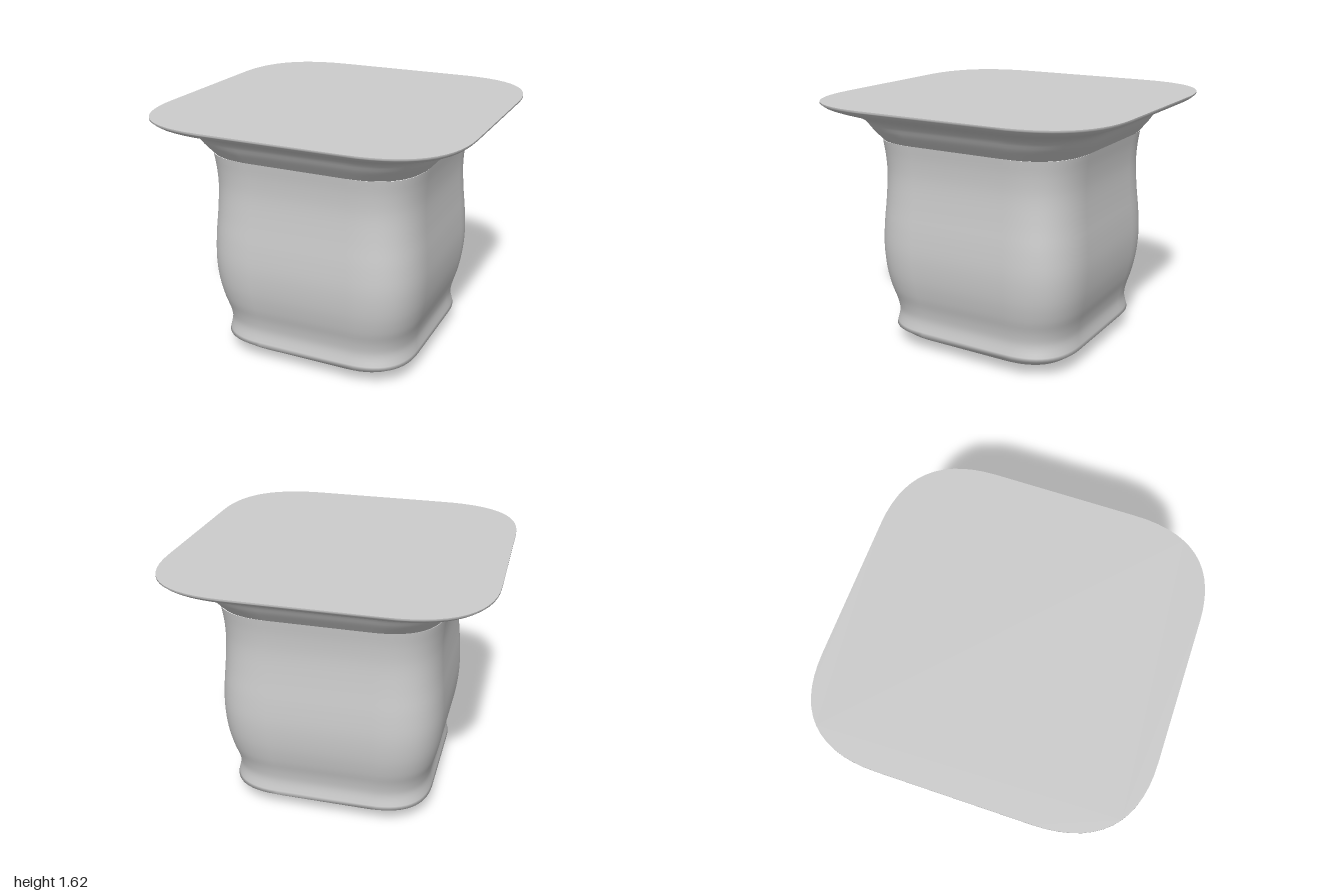
import * as THREE from 'three';

const ARC = 14;

// Rounded-square outline, half-width 1; each corner is a quadratic curve.
function outline(start) {
  const pts = [];
  for (let q = 0; q < 4; q++) {
    for (let i = 0; i <= ARC; i++) {
      const t = i / ARC;
      const x = 1 - (1 - start) * t * t;
      const y = start + (1 - start) * (2 * t - t * t);
      const a = q * Math.PI / 2, c = Math.round(Math.cos(a)), s = Math.round(Math.sin(a));
      pts.push(new THREE.Vector2(x * c - y * s, x * s + y * c));
    }
  }
  return pts;
}

// Skin a profile of [half-width, height] rings, listed from bottom to top.
function loft(profile, start) {
  const ring = outline(start), n = ring.length, pos = [], idx = [];
  for (const [r, y] of profile) for (const p of ring) pos.push(p.x * r, y, -p.y * r);
  for (let j = 0; j < profile.length - 1; j++) {
    for (let i = 0; i < n; i++) {
      const a = j * n + i, b = j * n + (i + 1) % n;
      idx.push(a, b, b + n, a, b + n, a + n);
    }
  }
  const g = new THREE.BufferGeometry();
  g.setAttribute('position', new THREE.Float32BufferAttribute(pos, 3));
  g.setIndex(idx);
  g.computeVertexNormals();
  return g;
}

// Flat rounded-square cap facing up or down.
function cap(r, y, start, up) {
  const shape = new THREE.Shape(outline(start).map(p => p.multiplyScalar(r)));
  const g = new THREE.ShapeGeometry(shape);
  g.rotateX(up ? -Math.PI / 2 : Math.PI / 2);
  g.translate(0, y, 0);
  return g;
}

// Smooth curve through profile points.
function smooth(points, count) {
  const curve = new THREE.CatmullRomCurve3(points.map(([r, y]) => new THREE.Vector3(r, y, 0)));
  return curve.getPoints(count).map(p => [p.x, p.y]);
}

export function createModel() {
  const group = new THREE.Group();
  const grey = new THREE.MeshStandardMaterial({ color: 0xcccccc });
  grey.name = 'light grey';
  const add = (name, geometry) => {
    const m = new THREE.Mesh(geometry, grey);
    m.name = name;
    group.add(m);
  };

  // Bulging body with a pinched foot and a bevelled underside
  const wall = smooth([
    [0.655, 0.115], [0.638, 0.21], [0.648, 0.29], [0.675, 0.39], [0.697, 0.51], [0.707, 0.66],
    [0.7, 0.82], [0.685, 0.98], [0.675, 1.15], [0.68, 1.27], [0.692, 1.37],
  ], 40);
  add('body', loft([[0.6, 0.07], ...wall], 0.47));
  add('underside', loft([[0.4, 0], [0.6, 0.07]], 0.47));
  add('base', cap(0.4, 0, 0.47, false));

  // Flared lip and flat lid
  const flare = smooth([
    [0.692, 1.37], [0.745, 1.44], [0.785, 1.5], [0.83, 1.53], [0.91, 1.56], [0.975, 1.588], [1, 1.61],
  ], 24);
  add('lip', loft([...flare, [1, 1.62]], 0.45));
  add('lid', cap(1, 1.62, 0.45, true));
  return group;
}
